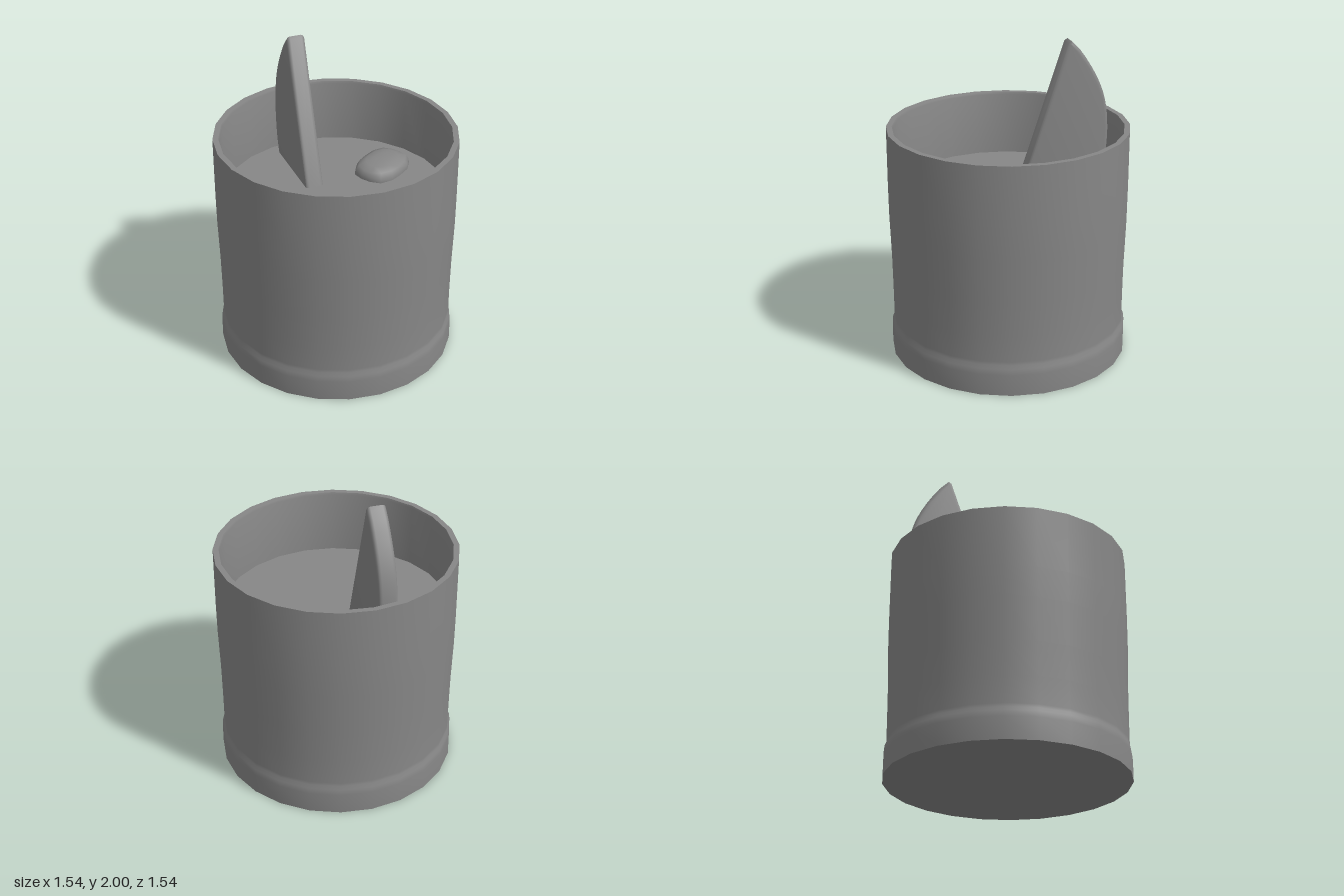
import * as THREE from 'three';
import { toCreasedNormals } from 'three/addons/utils/BufferGeometryUtils.js';

const SIDES = 24;
const LIQUID_Y = 1.075;
const v2 = (p) => new THREE.Vector2(p[0], p[1]);

export function createModel() {
  const group = new THREE.Group();
  const material = new THREE.MeshStandardMaterial({ color: 0x878787 });

  const add = (name, geometry) => {
    const mesh = new THREE.Mesh(geometry, material);
    mesh.name = name;
    group.add(mesh);
    return mesh;
  };

  // Cup: closed floor, foot band with a tight step, slight waist, thin rim and inner wall
  const cupProfile = [
    [0, 0], [0.771, 0], [0.771, 0.14], [0.767, 0.18], [0.757, 0.203], [0.756, 0.225],
    [0.757, 0.4], [0.76, 0.62], [0.769, 0.9], [0.771, 1.1], [0.771, 1.505],
    [0.735, 1.505], [0.73, 1.49], [0.73, LIQUID_Y - 0.1],
  ].map(v2);
  add('cup', toCreasedNormals(new THREE.LatheGeometry(cupProfile, SIDES), 0.7));

  // Drink surface
  const drink = add('drinkSurface', new THREE.CircleGeometry(0.732, SIDES));
  drink.rotation.x = -Math.PI / 2;
  drink.position.y = LIQUID_Y;

  // Fruit wedge: straight cut edge, bowed rind, leaning against the cup wall
  const wedge = new THREE.Shape();
  wedge.moveTo(0.333, 1.0);
  wedge.lineTo(0.0, 1.985);
  wedge.lineTo(-0.02, 2.0);
  wedge.splineThru([
    [-0.09, 1.926], [-0.178, 1.79], [-0.234, 1.67], [-0.263, 1.56],
    [-0.275, 1.45], [-0.276, 1.33], [-0.255, 1.16], [-0.2, 1.0],
  ].map(v2));
  wedge.closePath();
  const thickness = 0.12, bevel = 0.022;
  const wedgeGeometry = new THREE.ExtrudeGeometry(wedge, {
    depth: thickness - 2 * bevel, curveSegments: 2, bevelEnabled: true,
    bevelThickness: bevel, bevelSize: bevel, bevelOffset: -bevel, bevelSegments: 3,
  });
  wedgeGeometry.translate(0, 0, bevel - thickness / 2);
  const slice = add('fruitWedge', toCreasedNormals(wedgeGeometry, 0.8));
  slice.rotation.y = -0.25;
  slice.position.set(-0.43, 0, -0.005);

  // Floating lump: a sphere squared off towards a rounded block
  const lumpGeometry = new THREE.SphereGeometry(1, 14, 10);
  const pos = lumpGeometry.attributes.position;
  const p = new THREE.Vector3();
  for (let i = 0; i < pos.count; i++) {
    p.fromBufferAttribute(pos, i);
    const k = (Math.abs(p.x) ** 3 + Math.abs(p.y) ** 3 + Math.abs(p.z) ** 3) ** (-1 / 3);
    p.multiplyScalar(k);
    pos.setXYZ(i, p.x * 0.147, p.y * 0.085, p.z * 0.195);
  }
  const lump = add('floatingLump', toCreasedNormals(lumpGeometry, 1.2));
  lump.rotation.y = 0.33;
  lump.position.set(-0.065, LIQUID_Y, -0.425);

  return group;
}
